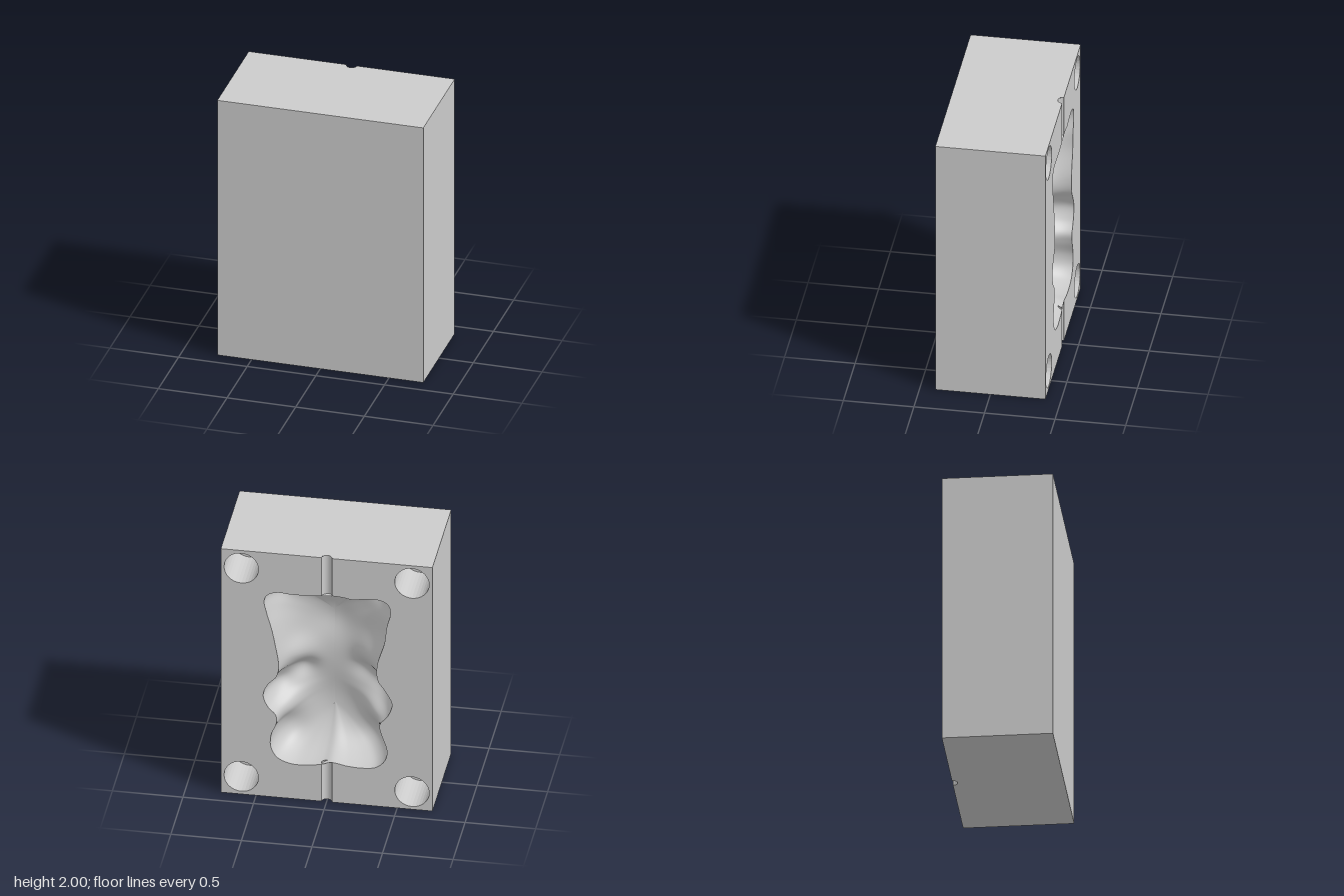
import * as THREE from 'three';
import { mergeGeometries } from 'three/addons/utils/BufferGeometryUtils.js';

const W = 0.75, H = 2, D = 0.39, R = 0.037; // half width, height, half depth, channel radius
const PIN = { x: 0.605, y: 0.145, r: 0.122, depth: 0.35 };
const STEPS = 6, RINGS = 28;

// Cavity rim seen from behind: right side going down, then left side going up
const rimRight = [
  [R, 1.692], [0.11, 1.688], [0.19, 1.676], [0.27, 1.69], [0.365, 1.692], [0.434, 1.66], [0.452, 1.59],
  [0.426, 1.475], [0.41, 1.342], [0.357, 1.148], [0.363, 1.03], [0.418, 0.943], [0.463, 0.845], [0.434, 0.747],
  [0.376, 0.668], [0.387, 0.591], [0.426, 0.473], [0.416, 0.385], [0.355, 0.32], [0.268, 0.302], [0.15, 0.306], [R, 0.325],
];
const rimLeft = [
  [-R, 0.303], [-0.126, 0.288], [-0.245, 0.285], [-0.347, 0.325], [-0.395, 0.407], [-0.393, 0.51], [-0.358, 0.597],
  [-0.36, 0.67], [-0.418, 0.738], [-0.45, 0.829], [-0.418, 0.916], [-0.355, 0.99], [-0.34, 1.08], [-0.363, 1.24],
  [-0.39, 1.376], [-0.426, 1.508], [-0.443, 1.608], [-0.418, 1.654], [-0.347, 1.68], [-0.261, 1.675], [-0.15, 1.676], [-R, 1.684],
];

// Soft swellings (positive) and folds (negative): centre, spread, amount
const bumps = [
  [0.38, 0.86, 0.1, 0.07], [0.24, 0.95, 0.1, 0.05],
  [-0.38, 0.83, 0.09, 0.07], [-0.22, 0.92, 0.09, 0.06],
  [0.33, 0.66, 0.09, -0.07], [-0.32, 0.65, 0.09, -0.08],
  [0.28, 1.1, 0.1, -0.05], [-0.26, 1.08, 0.1, -0.06],
  [0.33, 0.42, 0.12, 0.05], [-0.31, 0.42, 0.12, 0.05],
  [0.37, 1.6, 0.08, 0.06], [-0.37, 1.6, 0.08, 0.04],
  [0, 1.32, 0.15, 0.04], [0, 0.66, 0.22, 0.04],
];

function cavityDepth(u, v, t) {
  let d = 0.31;
  for (const [bu, bv, s, a] of bumps) d += a * Math.exp(-((u - bu) ** 2 + (v - bv) ** 2) / (s * s));
  return d * Math.sqrt(Math.max(0, 1 - t ** 2.3));
}

// Rings shrink from the rim to a vertical spine while they sink into the block
function cavityGeometry(rim) {
  const pos = [], index = [], n = rim.length;
  for (let j = 0; j <= RINGS; j++) {
    const t = Math.cos((j / RINGS) * Math.PI / 2);
    for (const p of rim) {
      const spine = 1 + (p.y - 1) * 0.55;
      const u = p.x * t, v = spine + (p.y - spine) * t;
      pos.push(u, v, -cavityDepth(u, v, t));
    }
  }
  for (let j = 0; j < RINGS; j++) {
    for (let i = 0; i < n; i++) {
      const a = j * n + i, b = j * n + (i + 1) % n;
      index.push(a, b, a + n, b, b + n, a + n);
    }
  }
  const g = new THREE.BufferGeometry();
  g.setAttribute('position', new THREE.Float32BufferAttribute(pos, 3));
  g.setIndex(index);
  g.computeVertexNormals();
  return g;
}

// Half of the parting face, with its two pin holes
function halfFace(side, rimTopToBottom) {
  const shape = new THREE.Shape();
  shape.moveTo(side * R, H);
  shape.lineTo(side * W, H);
  shape.lineTo(side * W, 0);
  shape.lineTo(side * R, 0);
  for (const p of [...rimTopToBottom].reverse()) shape.lineTo(p.x, p.y);
  for (const y of [PIN.y, H - PIN.y]) {
    shape.holes.push(new THREE.Path().absarc(side * PIN.x, y, PIN.r, 0, Math.PI * 2));
  }
  return new THREE.ShapeGeometry(shape, 16);
}

// Front, sides, and notched top and bottom
function shellGeometry() {
  const end = new THREE.Shape();
  end.moveTo(-W, -D);
  end.lineTo(W, -D);
  end.lineTo(W, D);
  end.lineTo(R, D);
  end.absarc(0, D, R, 0, Math.PI, true);
  end.lineTo(-W, D);
  const top = new THREE.ShapeGeometry(end, 16).rotateX(-Math.PI / 2);
  return mergeGeometries([
    new THREE.PlaneGeometry(2 * W, H).translate(0, H / 2, D),
    new THREE.PlaneGeometry(2 * D, H).rotateY(Math.PI / 2).translate(W, H / 2, 0),
    new THREE.PlaneGeometry(2 * D, H).rotateY(-Math.PI / 2).translate(-W, H / 2, 0),
    top.clone().translate(0, H, 0),
    top.clone().rotateZ(Math.PI),
  ]);
}

export function createModel() {
  const model = new THREE.Group();
  model.name = 'mouldHalf';
  const solid = new THREE.MeshStandardMaterial({ color: 0xcccccc });
  const open = new THREE.MeshStandardMaterial({ color: 0xcccccc, side: THREE.DoubleSide });
  const faceted = new THREE.MeshStandardMaterial({ color: 0xcccccc, side: THREE.DoubleSide, flatShading: true });
  const add = (parent, name, geometry, material) => {
    const mesh = new THREE.Mesh(geometry, material);
    mesh.name = name;
    parent.add(mesh);
    return mesh;
  };

  add(model, 'block', shellGeometry(), solid);

  // Parting side, built facing +z and then turned to the back
  const back = new THREE.Group();
  back.name = 'partingSide';
  back.rotation.y = Math.PI;
  back.position.z = -D;
  model.add(back);

  const points = [...rimRight, ...rimLeft].map(([u, v]) => new THREE.Vector3(u, v, 0));
  const rim = new THREE.CatmullRomCurve3(points, true, 'centripetal').getPoints(points.length * STEPS);
  rim.pop();
  const right = rim.slice(0, (rimRight.length - 1) * STEPS + 1);
  const start = rimRight.length * STEPS;
  const left = rim.slice(start, start + (rimLeft.length - 1) * STEPS + 1).reverse();

  add(back, 'partingFace', mergeGeometries([halfFace(1, right), halfFace(-1, left)]), solid);
  add(back, 'figureCavity', cavityGeometry(rim), open);

  // Pin holes
  for (const x of [-PIN.x, PIN.x]) {
    for (const y of [PIN.y, H - PIN.y]) {
      const wall = new THREE.CylinderGeometry(PIN.r, PIN.r, PIN.depth, 32, 1, true)
        .rotateX(Math.PI / 2).translate(x, y, -PIN.depth / 2);
      const floor = new THREE.CircleGeometry(PIN.r, 32).translate(x, y, -PIN.depth);
      add(back, 'pinHole', mergeGeometries([wall, floor]), faceted);
    }
  }

  // Half-round pouring channels
  for (const [y0, y1] of [[0, 0.32], [1.68, H]]) {
    add(back, 'channel', new THREE.CylinderGeometry(R, R, y1 - y0, 12, 1, true, Math.PI / 2, Math.PI)
      .translate(0, (y0 + y1) / 2, 0), open);
  }
  return model;
}
